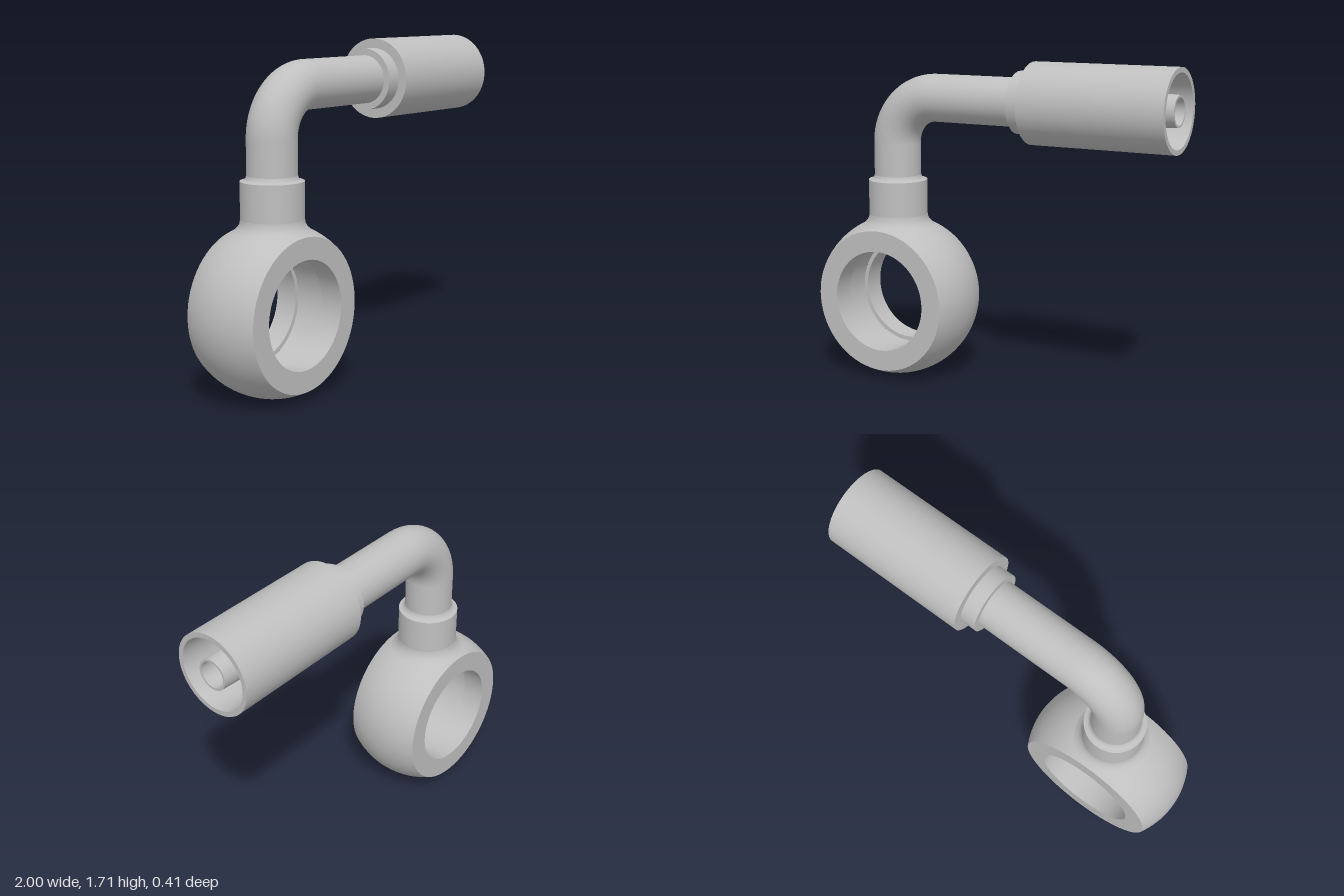
import * as THREE from 'three';
import { mergeGeometries } from 'three/addons/utils/BufferGeometryUtils.js';

const SEG = 72;

// Revolves several profile runs [radius, height]; each run is smooth, joints between runs stay sharp
function lathe(runs) {
  return mergeGeometries(runs.map(run =>
    new THREE.LatheGeometry(run.map(([r, y]) => new THREE.Vector2(r, y)), SEG)));
}

// Turns a chain of points into one sharp-edged run per straight piece
const sharp = pts => pts.slice(1).map((p, i) => [pts[i], p]);

export function createModel() {
  const steel = new THREE.MeshStandardMaterial({ color: 0xbfbfbf });
  steel.name = 'steel';
  const model = new THREE.Group();
  model.name = 'hoseFitting';

  const add = (name, geometry, x, y, parent = model) => {
    const mesh = new THREE.Mesh(geometry, steel);
    mesh.name = name;
    mesh.position.set(x, y, 0);
    parent.add(mesh);
    return mesh;
  };

  const cx = -0.57, ringY = 0.43, armY = 1.5;
  const ringR = 0.43, half = 0.206, boreR = 0.268;
  const grooveR = 0.29, grooveH = 0.085, drillR = 0.07;

  // Spherical ring with flat sides, a bore and an inner groove
  const ring = new THREE.Group();
  ring.name = 'banjoRing';
  ring.position.set(cx, ringY, 0);
  model.add(ring);

  const edge = Math.asin(half / ringR);
  const faceR = ringR * Math.cos(edge);
  const barrel = Array.from({ length: 25 }, (_, i) => {
    const a = edge * (i / 12 - 1);
    return [ringR * Math.cos(a), ringR * Math.sin(a)];
  });
  add('ringBody', lathe([
    barrel,
    ...sharp([[faceR, half], [boreR, half], [boreR, grooveH], [grooveR, grooveH]]),
    ...sharp([[grooveR, -grooveH], [boreR, -grooveH], [boreR, -half], [faceR, -half]]),
  ]).rotateX(Math.PI / 2), 0, 0, ring);

  // Groove wall, left open at the top for the drilled patch
  const gap = grooveH / grooveR;
  add('grooveWall', new THREE.LatheGeometry(
    [new THREE.Vector2(grooveR, grooveH), new THREE.Vector2(grooveR, -grooveH)],
    SEG, Math.PI + gap, 2 * Math.PI - 2 * gap).rotateX(Math.PI / 2), 0, 0, ring);

  // Square patch with a round hole, bent onto the groove wall
  const patch = new THREE.RingGeometry(drillR, grooveH, 64, 4);
  const pos = patch.attributes.position;
  for (let i = 0; i < pos.count; i++) {
    const x = pos.getX(i), y = pos.getY(i), r = Math.hypot(x, y);
    const c = x / r, s = y / r;
    const t = (r - drillR) / (grooveH - drillR);
    const reach = THREE.MathUtils.lerp(drillR, grooveH / Math.max(Math.abs(c), Math.abs(s)), t);
    const a = c * reach / grooveR;
    pos.setXYZ(i, grooveR * Math.sin(a), grooveR * Math.cos(a), s * reach);
  }
  patch.computeVertexNormals();
  add('groovePatch', patch, 0, 0, ring);

  // Drilled passage into the neck
  add('drilledPassage', lathe(sharp([[0, 0.58], [drillR, 0.58], [drillR, 0.281]])), 0, 0, ring);

  // Neck with a fillet onto the ring and a rounded step up to the pipe
  add('neck', lathe([
    [[0.2, 0.808], [0.182, 0.822], [0.168, 0.836], [0.158, 0.855], [0.155, 0.875]],
    [[0.155, 0.875], [0.155, 1.058]],
    [[0.155, 1.058], [0.147, 1.06]],
    [[0.147, 1.06], [0.136, 1.063], [0.127, 1.071], [0.123, 1.085]],
  ]), cx, 0);

  // Bent pipe: riser, quarter bend and arm
  const pipeR = 0.123, bendR = 0.245;
  const bendY = armY - bendR, bendX = cx + bendR;
  const pipe = (from, to) => new THREE.CylinderGeometry(pipeR, pipeR, to - from, 48, 1, true);
  add('pipeRiser', pipe(1.05, bendY), cx, (1.05 + bendY) / 2);
  add('pipeBend', new THREE.TorusGeometry(bendR, pipeR, 48, 32, Math.PI / 2)
    .rotateZ(Math.PI / 2), bendX, bendY);
  add('pipeArm', pipe(bendX, 0.18).rotateZ(-Math.PI / 2), (bendX + 0.18) / 2, armY);

  // Collar and hollow crimp sleeve
  add('crimpSleeve', lathe(sharp([
    [0.11, 0.16], [0.157, 0.16], [0.157, 0.24], [0.206, 0.24], [0.206, 1],
    [0.181, 1], [0.158, 0.34], [0.09, 0.34],
  ])).rotateZ(-Math.PI / 2), 0, armY);

  // Tapered hose stem inside the sleeve, with a drilled bore
  add('hoseStem', lathe(sharp([
    [0.104, 0.34], [0.077, 1], [0.066, 1], [0.066, 0.45], [0, 0.4],
  ])).rotateZ(-Math.PI / 2), 0, armY);

  return model;
}
